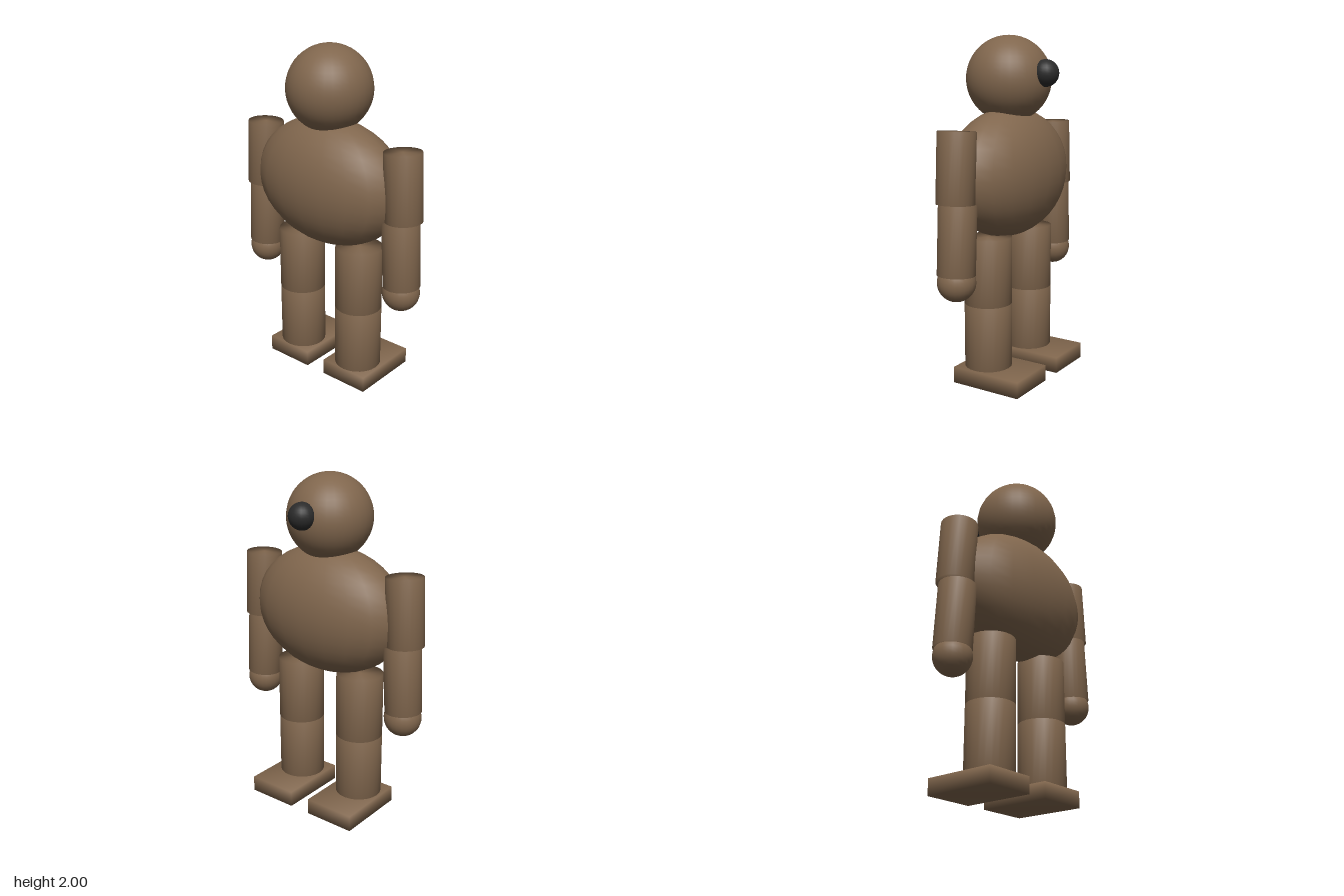
import * as THREE from 'three';
import { mergeVertices } from 'three/addons/utils/BufferGeometryUtils.js';

// Shares normals across all edges for an overall soft shading
function soften(geometry) {
  geometry.deleteAttribute('normal');
  geometry.deleteAttribute('uv');
  const g = mergeVertices(geometry, 1e-4);
  g.computeVertexNormals();
  return g;
}

export function createModel() {
  const model = new THREE.Group();
  model.name = 'stockyFigure';

  const brown = new THREE.MeshStandardMaterial({ color: 0x80664d });
  brown.name = 'brown';
  const black = new THREE.MeshStandardMaterial({ color: 0x2b2b2b });
  black.name = 'black';

  const midZ = 0.026;

  function add(name, geometry, x, y, z, material = brown) {
    const mesh = new THREE.Mesh(geometry, material);
    mesh.name = name;
    mesh.position.set(x, y, z);
    model.add(mesh);
    return mesh;
  }

  // Body, head and nose; the nose is on the -z side
  const body = new THREE.SphereGeometry(1, 20, 20).scale(0.507, 0.378, 0.272);
  add('body', body, 0, 1.212, midZ);
  add('head', new THREE.SphereGeometry(0.248, 32, 24), 0, 1.752, midZ);
  add('nose', new THREE.SphereGeometry(0.077, 20, 16), 0, 1.785, -0.218, black);

  const armPart = soften(new THREE.CylinderGeometry(0.107, 0.107, 0.388, 24));
  const hand = new THREE.SphereGeometry(0.108, 24, 16);
  const legPart = soften(new THREE.CylinderGeometry(0.139, 0.139, 0.387, 24));
  const foot = soften(new THREE.BoxGeometry(0.312, 0.095, 0.437));

  for (const [side, s] of [['left', 1], ['right', -1]]) {
    // Arms lean outwards, each section stepping back in
    add(side + 'UpperArm', armPart, s * 0.519, 1.289, midZ).rotation.z = s * 0.054;
    add(side + 'Forearm', armPart, s * 0.519, 0.898, midZ).rotation.z = s * 0.054;
    add(side + 'Hand', hand, s * 0.527, 0.663, midZ);

    // Legs and feet
    add(side + 'Thigh', legPart, s * 0.223, 0.667, midZ);
    add(side + 'Shin', legPart, s * 0.223, 0.28, midZ);
    add(side + 'Foot', foot, s * 0.222, 0.0475, -0.052);
  }

  return model;
}
